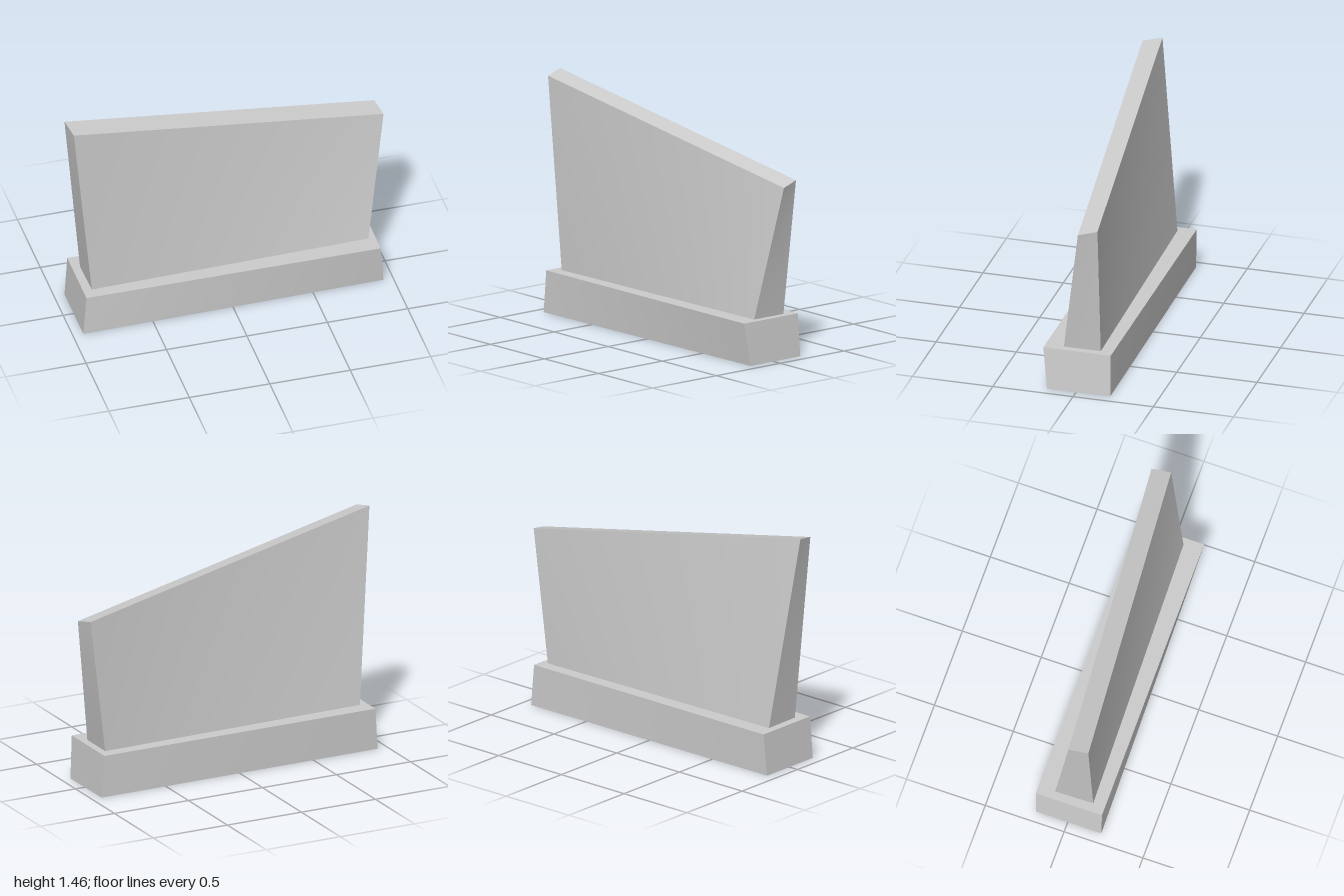
import * as THREE from 'three';

// Block whose ends are two quads; corners ordered left-back, right-back, right-front, left-front
function twistedBlock(name, bottom, top, nx, ny) {
  const geometry = new THREE.BoxGeometry(1, 1, 1, nx, ny, 1);
  const quads = [bottom, top].map(q => q.map(c => new THREE.Vector3(...c)));
  const onQuad = ([lb, rb, rf, lf], u, w) =>
    lb.clone().lerp(rb, u).lerp(lf.clone().lerp(rf, u), w);
  const pos = geometry.attributes.position;
  for (let i = 0; i < pos.count; i++) {
    const u = pos.getX(i) + 0.5, v = pos.getY(i) + 0.5, w = pos.getZ(i) + 0.5;
    const p = onQuad(quads[0], u, w).lerp(onQuad(quads[1], u, w), v);
    pos.setXYZ(i, p.x, p.y, p.z);
  }
  geometry.computeVertexNormals();
  const mesh = new THREE.Mesh(geometry, new THREE.MeshStandardMaterial({ color: 0xcccccc }));
  mesh.name = name;
  return mesh;
}

export function createModel() {
  const model = new THREE.Group();
  model.name = 'slantedSlabOnPlinth';

  // Low plinth, tapering slightly inward towards its top
  model.add(twistedBlock('plinth',
    [[-0.935, 0, -0.2], [0.935, 0, -0.213], [0.94, 0, 0.18], [-0.935, 0, 0.213]],
    [[-0.915, 0.26, -0.21], [0.915, 0.26, -0.21], [0.915, 0.26, 0.21], [-0.915, 0.26, 0.21]],
    12, 6));

  // Flaring slab, twisted about the vertical, with a sloping top edge
  model.add(twistedBlock('slab',
    [[-0.865, 0.255, -0.105], [0.87, 0.255, -0.135], [0.87, 0.255, 0.095], [-0.86, 0.255, 0.135]],
    [[-1, 1.46, 0.028], [0.975, 1.098, -0.145], [1, 1.072, -0.03], [-0.975, 1.435, 0.145]],
    24, 16));

  return model;
}
